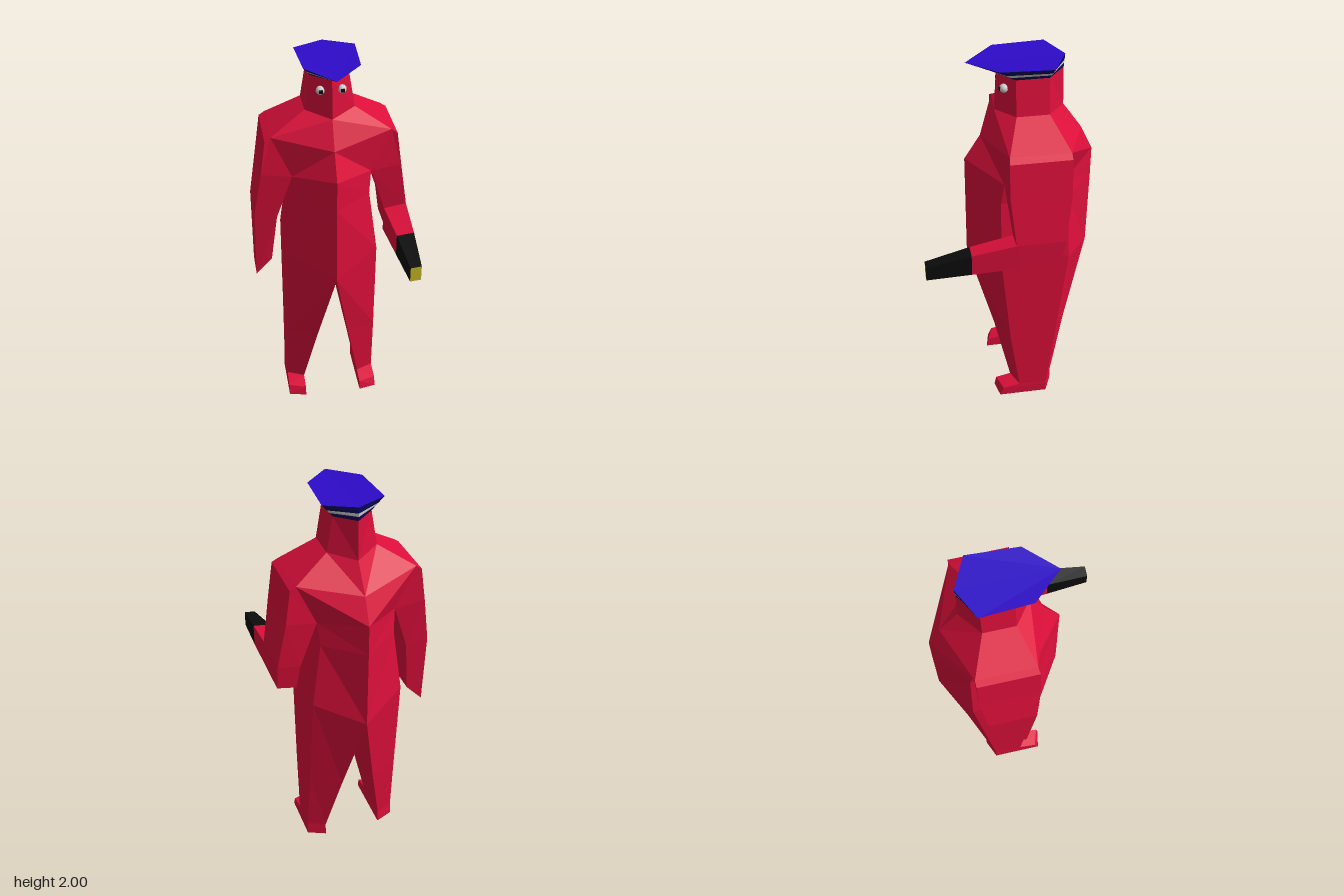
import * as THREE from 'three';

const mat = (color) => new THREE.MeshStandardMaterial({ color, flatShading: true });
const red = mat(0xdc0f3a), navy = mat(0x07075a), blue = mat(0x2d0bc8), black = mat(0x0c0c0c);
const yellow = mat(0xc8b820), darkGrey = mat(0x5a5a5a), grey = mat(0xcccccc);

// Skins a row of cross-sections; each runs counter-clockwise seen from the first one's end.
function loft(rings, { closed = false, start = false, end = false, mirror = false } = {}) {
  const pos = [];
  const tri = (a, b, c) => {
    for (const p of mirror ? [a, c, b] : [a, b, c]) pos.push(mirror ? -p[0] : p[0], p[1], p[2]);
  };
  for (let i = 0; i < rings.length - 1; i++) {
    const r = rings[i], s = rings[i + 1], n = r.length;
    for (let j = 0; j < (closed ? n : n - 1); j++) {
      const k = (j + 1) % n;
      tri(r[j], s[j], s[k]);
      tri(r[j], s[k], r[k]);
    }
  }
  const first = rings[0], last = rings[rings.length - 1];
  for (let j = 1; j < first.length - 1; j++) {
    if (start) tri(first[0], first[j], first[j + 1]);
    if (end) tri(last[0], last[j + 1], last[j]);
  }
  const g = new THREE.BufferGeometry();
  g.setAttribute('position', new THREE.Float32BufferAttribute(pos, 3));
  g.computeVertexNormals();
  return g;
}

// Section: inner front, outer front, outer back, inner back.
// [inner x, inner y, inner front z, inner back z, outer x, outer y, outer front z, outer back z]
const section = ([ix, iy, iF, iB, ox, oy, oF, oB]) =>
  [[ix, iy, iF], [ox, oy, oF], [ox, oy, oB], [ix, iy, iB]];

// Section across the forearm: x inner/outer, top inner/outer, bottom inner/outer, z top/bottom
const across = (xi, xo, ti, to, bi, bo, zt, zb = zt) =>
  [[xo, to, zt], [xo, bo, zb], [xi, bi, zb], [xi, ti, zt]];

const lerpRing = (a, b, t) => a.map((p, i) => p.map((v, k) => v + (b[i][k] - v) * t));

export function createModel() {
  const model = new THREE.Group();
  const add = (name, geometry, material, parent = model) => {
    const mesh = new THREE.Mesh(geometry, material);
    mesh.name = name;
    parent.add(mesh);
    return mesh;
  };

  const headTop = section([0, 1.93, 0.04, -0.285, 0.095, 1.93, -0.04, -0.2]);
  const neck = section([0, 1.73, 0.05, -0.29, 0.125, 1.75, -0.04, -0.2]);
  const hip = section([0, 0.88, 0.2, -0.44, 0.235, 0.96, 0.05, -0.3]);

  const torso = [
    neck,
    section([0, 1.59, 0.12, -0.385, 0.3, 1.64, 0.02, -0.275]),
    section([0, 1.46, 0.2, -0.445, 0.2, 1.42, 0.03, -0.27]),
    section([0, 1.3, 0.2, -0.445, 0.19, 1.3, 0.045, -0.29]),
    hip,
  ];

  const leg = [
    hip,
    section([0.087, 0.42, 0.07, -0.32, 0.24, 0.42, 0.0, -0.24]),
    section([0.155, 0.07, -0.01, -0.24, 0.245, 0.07, -0.05, -0.2]),
  ];
  const foot = [
    leg[2],
    section([0.155, 0.05, 0.07, -0.24, 0.247, 0.05, 0.04, -0.2]),
    section([0.155, 0, 0.08, -0.24, 0.247, 0, 0.06, -0.2]),
  ];

  const upperArm = [
    section([0.3, 1.64, 0.02, -0.275, 0.33, 1.62, 0.025, -0.275]),
    section([0.2, 1.42, 0.03, -0.27, 0.355, 1.44, 0.025, -0.275]),
    section([0.28, 1.17, 0, -0.245, 0.395, 1.19, 0, -0.245]),
  ];
  const hand = section([0.31, 0.88, -0.05, -0.21, 0.395, 0.79, -0.05, -0.21]);
  const elbow = section([0.295, 1.03, -0.02, -0.22, 0.395, 1.048, -0.02, -0.22]);

  // Cap flares from the head to a wide pointed crown
  const crown = [[0, 1.99, 0.185], [0.137, 2, 0.04], [0.152, 2, -0.215], [0, 2, -0.29]];
  const capRing = (t) => lerpRing(crown, headTop, t);

  for (const mirror of [false, true]) {
    const side = mirror ? 'right' : 'left';
    add(`${side}Head`, loft([headTop, neck], { mirror }), red);
    add(`${side}Torso`, loft(torso, { mirror }), red);
    add(`${side}Leg`, loft(leg, { mirror, closed: true }), red);
    add(`${side}Foot`, loft(foot, { mirror, closed: true, end: true }), red);

    const arm = mirror ? [...upperArm, hand] : [...upperArm, elbow];
    add(`${side}Arm`, loft(arm, { mirror, closed: true, start: true, end: mirror }), red);

    add(`${side}CapTop`, loft([crown], { mirror, start: true }), blue);
    add(`${side}CapUpperBand`, loft([crown, capRing(0.45)], { mirror }), navy);
    add(`${side}CapStripe`, loft([capRing(0.45), capRing(0.7)], { mirror }), grey);
    add(`${side}CapLowerBand`, loft([capRing(0.7), headTop], { mirror }), navy);

    // Eye with a small square pupil
    const eye = new THREE.Group();
    eye.name = `${side}Eye`;
    eye.position.set(mirror ? -0.053 : 0.053, 1.87, 0.01);
    add('eyeball', new THREE.SphereGeometry(0.022, 12, 8),
      new THREE.MeshStandardMaterial({ color: 0xcccccc }), eye);
    add('pupil', new THREE.BoxGeometry(0.018, 0.018, 0.006), black, eye).position.z = 0.02;
    model.add(eye);
  }

  // Left forearm reaches forward and ends in a tapered barrel
  const wrist = across(0.302, 0.39, 1.14, 1.15, 1.025, 1.035, 0.22);
  const muzzle = across(0.325, 0.38, 1.095, 1.1, 1.015, 1.02, 0.445);
  add('leftForearm',
    loft([across(0.28, 0.395, 1.17, 1.19, 1.03, 1.048, 0, -0.02), wrist], { closed: true }), red);
  add('barrel', loft([wrist, muzzle], { closed: true }), black);
  add('muzzle', loft([muzzle], { end: true }), yellow);
  add('elbowPlate', loft([elbow], { end: true }), darkGrey);

  return model;
}
